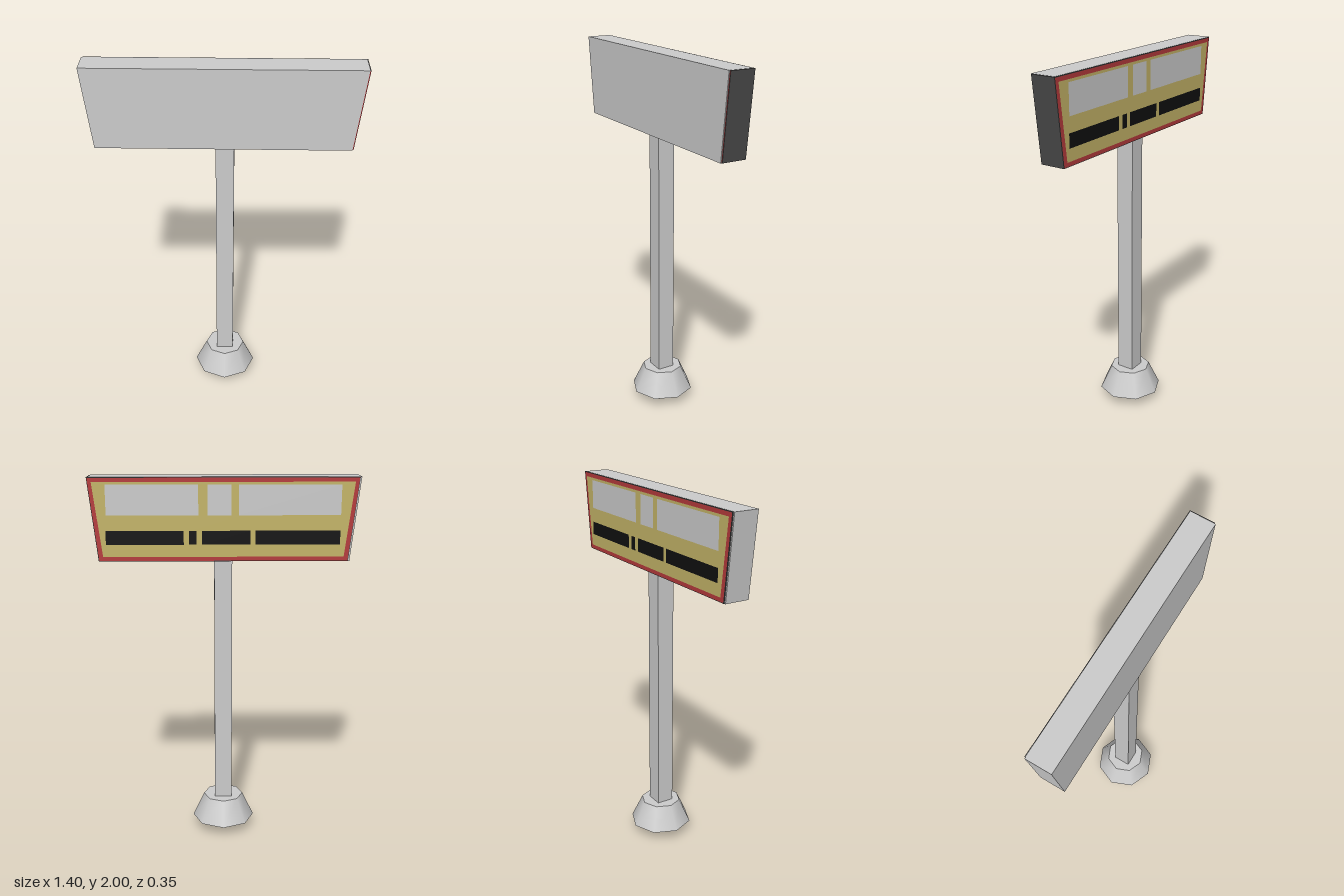
import * as THREE from 'three';

const material = (color) => new THREE.MeshStandardMaterial({ color, side: THREE.DoubleSide });
const grey = material(0xcccccc);
const dark = material(0x4a4a4a);
const red = material(0xb53a3c);
const yellow = material(0xc4b468);
const black = material(0x101010);

const TOP = 2, BOTTOM = 1.566, DEPTH = 0.134;

function addMesh(parent, name, geometry, mat, x = 0, y = 0, z = 0) {
  const mesh = new THREE.Mesh(geometry, mat);
  mesh.name = name;
  mesh.position.set(x, y, z);
  parent.add(mesh);
  return mesh;
}

// Sign outline, wider at the top, with an optional inset
function outline(inset = 0) {
  const t = 0.699 - inset, b = 0.652 - inset;
  return new THREE.Shape([
    new THREE.Vector2(-b, BOTTOM + inset), new THREE.Vector2(b, BOTTOM + inset),
    new THREE.Vector2(t, TOP - inset), new THREE.Vector2(-t, TOP - inset),
  ]);
}

const slab = (inset) =>
  new THREE.ExtrudeGeometry(outline(inset), { depth: DEPTH, bevelEnabled: false });

// Flat rectangles between pairs of x values
function addRow(parent, name, spans, y0, y1, mat) {
  for (const [x0, x1] of spans) {
    addMesh(parent, name, new THREE.PlaneGeometry(x1 - x0, y1 - y0), mat,
      (x0 + x1) / 2, (y0 + y1) / 2, 0.003);
  }
}

export function createModel() {
  const model = new THREE.Group();
  model.name = 'signpost';

  // Square post
  addMesh(model, 'post', new THREE.BoxGeometry(0.095, 1.57, 0.095), grey, 0.004, 0.785, 0.002);

  // Eight-sided flared collar, open underneath
  const collar = new THREE.Group();
  collar.name = 'baseCollar';
  collar.position.x = 0.004;
  model.add(collar);
  addMesh(collar, 'collarSkirt',
    new THREE.CylinderGeometry(0.11, 0.173, 0.135, 8, 1, true), grey, 0, 0.1285, 0);
  addMesh(collar, 'collarTop', new THREE.CircleGeometry(0.11, 8), grey, 0, 0.196, 0)
    .rotation.x = -Math.PI / 2;

  // Grey cover overlapping a dark sign box, slightly shifted from each other
  addMesh(model, 'signCover', slab(0), grey, -0.005, 0, -0.064);
  addMesh(model, 'signBox', slab(0.001), dark, 0.002, 0, -0.069);

  // Front rim of the sign box, showing beside the cover
  addMesh(model, 'frontRim', new THREE.ShapeGeometry(outline(0.002)), red, 0.002, 0, 0.0655);

  // Painted face on the back
  const face = new THREE.Group();
  face.name = 'signFace';
  face.position.set(0.002, 0, -0.0695);
  face.rotation.y = Math.PI;
  model.add(face);
  addMesh(face, 'faceBorder', new THREE.ShapeGeometry(outline(0.004)), red);
  addMesh(face, 'faceField', new THREE.ShapeGeometry(outline(0.025)), yellow, 0, 0, 0.0015);
  addRow(face, 'palePanel', [[-0.605, -0.13], [-0.083, 0.04], [0.078, 0.605]], 1.806, 1.962, grey);
  addRow(face, 'blackBand',
    [[-0.61, -0.207], [-0.18, -0.14], [-0.112, 0.138], [0.165, 0.605]], 1.655, 1.727, black);

  return model;
}
